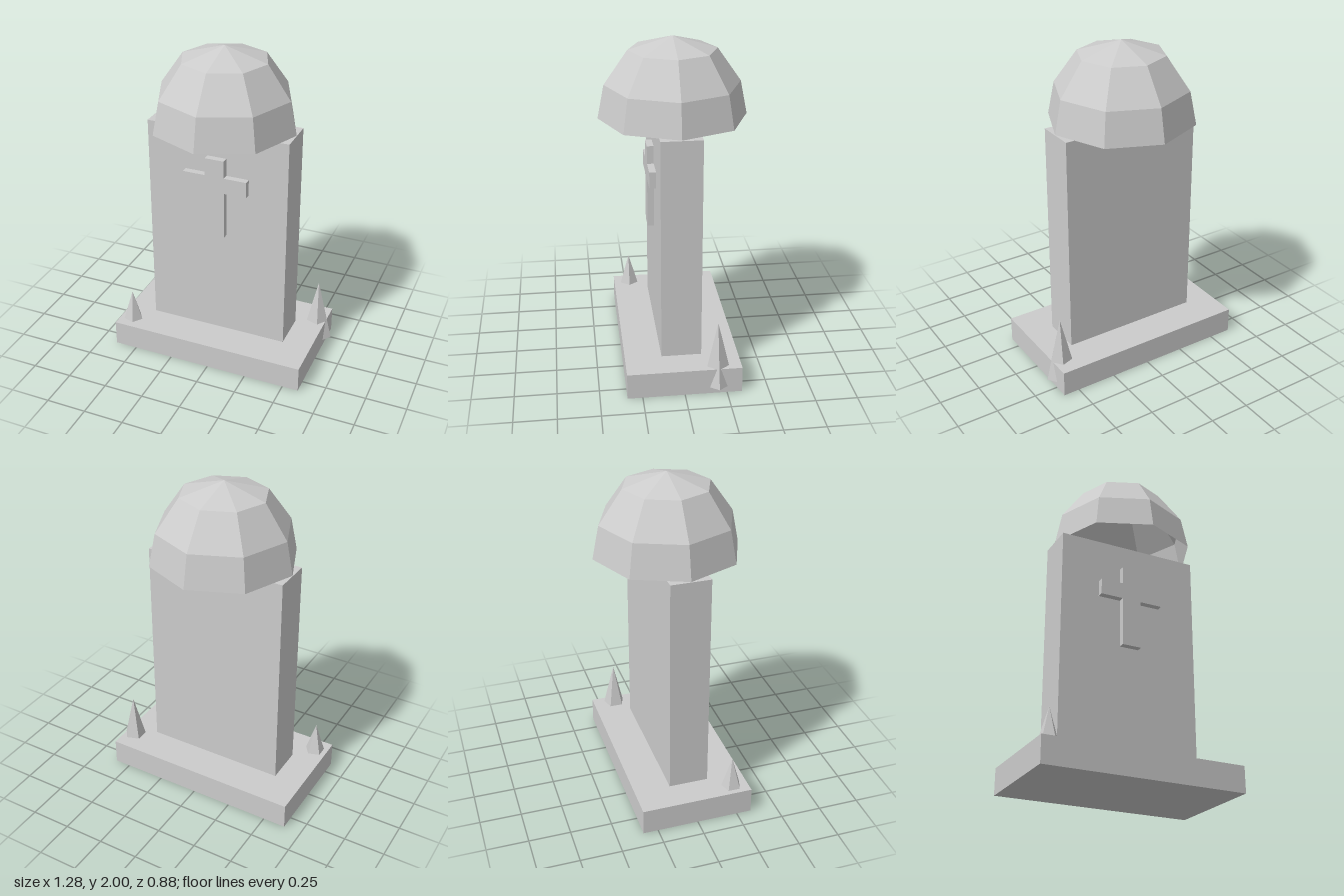
import * as THREE from 'three';

export function createModel() {
  const model = new THREE.Group();
  model.name = 'gravestone';

  const stone = new THREE.MeshStandardMaterial({
    color: 0xcccccc, flatShading: true, side: THREE.DoubleSide,
  });
  stone.name = 'grey stone';

  const CX = -0.02; // centre line of the stone

  function add(name, geometry, x, y, z) {
    const mesh = new THREE.Mesh(geometry, stone);
    mesh.name = name;
    mesh.position.set(x, y, z);
    model.add(mesh);
  }

  // Plinth and upright slab
  add('base', new THREE.BoxGeometry(1.24, 0.16, 0.68), CX, 0.08, 0);
  add('slab', new THREE.BoxGeometry(0.88, 1.36, 0.24), CX, 0.84, 0);

  // Hollow eight-sided dome, open underneath
  const profile = [[0.44, 0], [0.4, 0.2], [0.26, 0.4], [0, 0.477]]
    .map(([r, y]) => new THREE.Vector2(r, y));
  add('dome', new THREE.LatheGeometry(profile, 8), CX, 1.523, 0);

  // Raised cross on the front of the slab
  const cross = new THREE.Shape([
    [-0.06, 0.85], [0.06, 0.85], [0.06, 1.15], [0.2, 1.15], [0.2, 1.25], [0.06, 1.25],
    [0.06, 1.36], [-0.06, 1.36], [-0.06, 1.25], [-0.2, 1.25], [-0.2, 1.15], [-0.06, 1.15],
  ].map(([x, y]) => new THREE.Vector2(x, y)));
  add('cross', new THREE.ExtrudeGeometry(cross, { depth: 0.04, bevelEnabled: false }), CX, 0, 0.12);

  // Five-sided spikes rising out of the base, one corner towards +x
  function addSpike(name, x, z, top) {
    const bottom = 0.04;
    const height = top - bottom;
    const cone = new THREE.ConeGeometry(0.098, height, 5, 1, true, Math.PI / 2);
    add(name, cone, x, bottom + height / 2, z);
  }
  addSpike('frontRightSpike', -0.56, 0.24, 0.357);
  addSpike('backLeftSpike', 0.54, -0.2, 0.437);

  return model;
}
